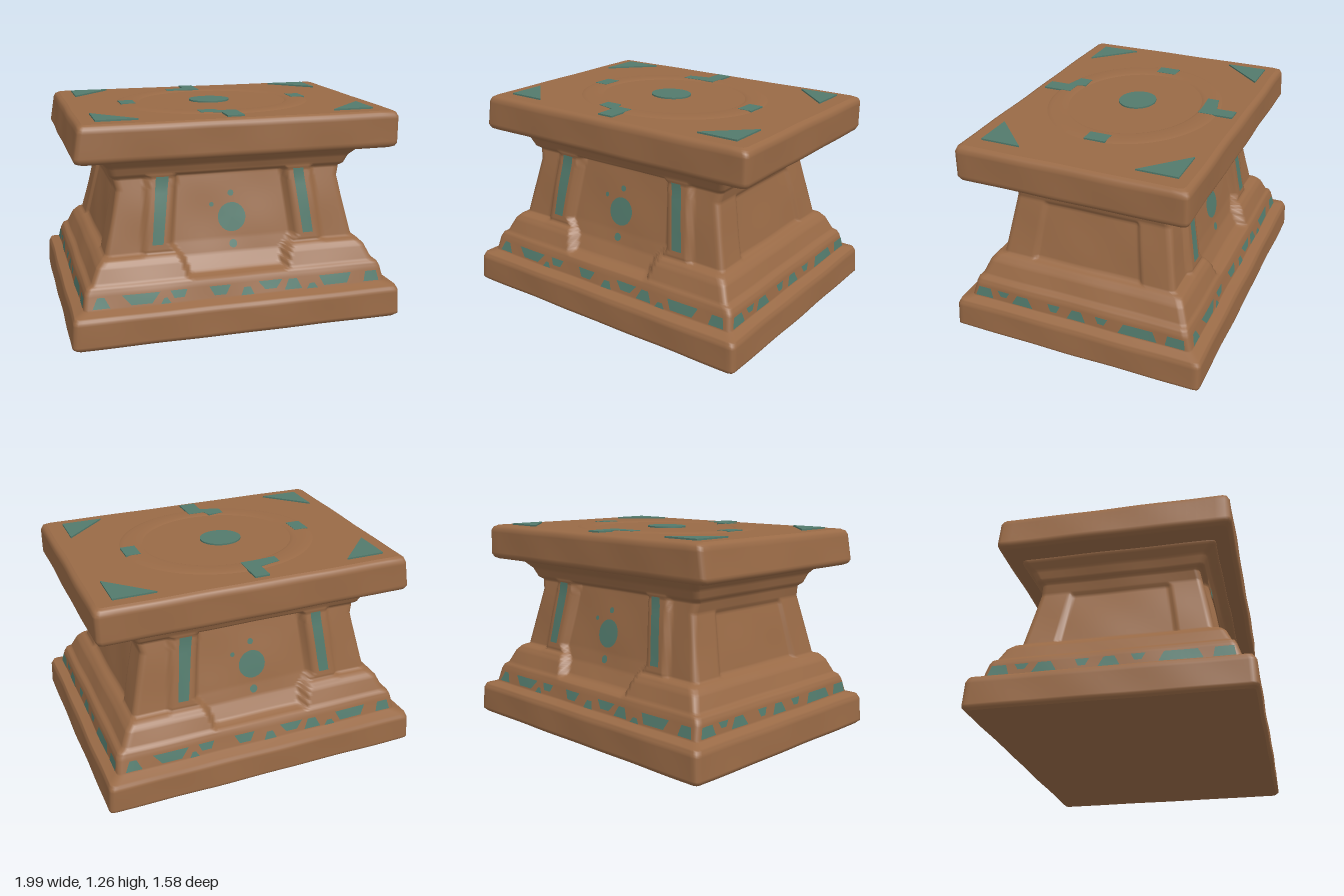
import * as THREE from 'three';

const lerp = THREE.MathUtils.lerp;
const step = (edge, x) => THREE.MathUtils.smoothstep(x, edge - 0.012, edge + 0.012);

// Value of column c at height y in a table of rows that start with y
function sample(rows, y, c) {
  if (y <= rows[0][0]) return rows[0][c];
  for (let i = 1; i < rows.length; i++) {
    const a = rows[i - 1], b = rows[i];
    if (y <= b[0]) return lerp(a[c], b[c], (y - a[0]) / (b[0] - a[0]));
  }
  return rows[rows.length - 1][c];
}

// Rows: height, half width, half depth, x offset
const BODY = [
  [0.005, 0.975, 0.77, 0], [0.025, 0.995, 0.79, 0], [0.17, 0.985, 0.785, 0], [0.2, 0.972, 0.77, 0],
  [0.212, 0.92, 0.715, 0], [0.3, 0.905, 0.69, 0], [0.33, 0.89, 0.678, 0], [0.345, 0.862, 0.662, 0],
  [0.43, 0.822, 0.625, 0], [0.462, 0.79, 0.6, 0], [0.475, 0.765, 0.555, 0], [0.84, 0.68, 0.488, 0],
  [0.905, 0.695, 0.476, 0], [0.925, 0.715, 0.505, 0], [0.98, 0.735, 0.53, 0], [1.03, 0.775, 0.582, 0], [1.06, 0.78, 0.585, 0],
];
const SLAB = [
  [1.04, 0.925, 0.66, 0.018], [1.05, 0.947, 0.68, 0.018], [1.07, 0.957, 0.69, 0.018], [1.225, 0.944, 0.688, 0.031],
  [1.248, 0.934, 0.678, 0.031], [1.26, 0.91, 0.655, 0.031],
];
const PANEL = [[0.33, 0.29, 0.62], [0.44, 0.32, 0.555], [0.52, 0.38, 0.53], [0.92, 0.33, 0.445]];

// Gentle hand-worked unevenness
const wobble = (side, u, y) => 0.003 * Math.sin(9 * u + side * 2) * Math.sin(13 * y + 1.3 * side + 3 * u);

// Distance of the pedestal face from the axis; sides run front, +x, back, -x
function bodyOut(side, u, y) {
  const a = Math.abs(u);
  if (side % 2) {
    // shallow panel on the short faces
    const inside = step(a, lerp(0.345, 0.295, (y - 0.47) / 0.36)) * step(0.475, y) * step(y, 0.83);
    return sample(BODY, y, 1) - 0.018 * inside + wobble(side, u, y);
  }
  // pilasters and the sunken panel between them
  const half = sample(PANEL, y, 1);
  const outer = lerp(0.55, 0.5, (y - 0.47) / 0.45);
  let d = sample(BODY, y, 2) + 0.027 * step(a, outer) * step(0.47, y) * step(y, 0.918);
  const inside = step(a, half) * step(0.34, y) * step(y, 0.915);
  d = lerp(d, Math.min(d, sample(PANEL, y, 2)), inside);
  return d + wobble(side, u, y);
}
const slabOut = (side, u, y) => sample(SLAB, y, side % 2 ? 1 : 2) + wobble(side, u, y);

// Turns face coordinates into model coordinates
function place(side, u, y, out) {
  return [[u, y, out], [out, y, -u], [-u, y, -out], [-out, y, u]][side];
}

// Closed loft of rounded rectangles with relief on each face
function loft(rows, out, radius, segs) {
  const heights = [rows[0][0]];
  for (let i = 1; i < rows.length; i++) {
    const n = Math.ceil((rows[i][0] - rows[i - 1][0]) / 0.012);
    for (let k = 1; k <= n; k++) heights.push(lerp(rows[i - 1][0], rows[i][0], k / n));
  }
  const pos = [], index = [];
  const ring = (y) => {
    const w = sample(rows, y, 1), d = sample(rows, y, 2), cx = sample(rows, y, 3);
    const add = (p) => pos.push(p[0] + cx, p[1], p[2]);
    for (let side = 0; side < 4; side++) {
      const half = (side % 2 ? d : w) - radius, dist = side % 2 ? w : d;
      for (let i = 0; i <= segs; i++) {
        const u = lerp(-half, half, i / segs);
        add(place(side, u, y, out(side, u, y)));
      }
      add(place(side, half + 0.707 * radius, y, dist - 0.293 * radius));
    }
  };
  const count = 4 * (segs + 2);
  heights.forEach(ring);
  for (let j = 0; j < heights.length - 1; j++) {
    for (let i = 0; i < count; i++) {
      const a = j * count + i, b = j * count + (i + 1) % count;
      index.push(a, b, a + count, b, b + count, a + count);
    }
  }
  // flat caps with their own vertices
  for (const top of [false, true]) {
    const y = top ? heights[heights.length - 1] : heights[0];
    const start = pos.length / 3;
    ring(y);
    const mid = pos.length / 3;
    pos.push(0, y, 0);
    for (let i = 0; i < count; i++) {
      const a = start + i, b = start + (i + 1) % count;
      index.push(mid, top ? a : b, top ? b : a);
    }
  }
  const g = new THREE.BufferGeometry();
  g.setAttribute('position', new THREE.Float32BufferAttribute(pos, 3));
  g.setIndex(index);
  g.computeVertexNormals();
  return g;
}

// Lays flat (u, y) geometry just over a pedestal face
function drape(g, side) {
  const p = g.attributes.position;
  for (let i = 0; i < p.count; i++) {
    const u = p.getX(i), y = p.getY(i);
    p.setXYZ(i, ...place(side, u, y, bodyOut(side, u, y) + 0.005));
  }
  g.computeVertexNormals();
  return g;
}

// Flat four-sided patch: bottom edge b0-b1, top edge t0-t1
function patch(b0, b1, t0, t1, y0, y1) {
  const g = new THREE.PlaneGeometry(1, 1, 6, 8), p = g.attributes.position;
  for (let i = 0; i < p.count; i++) {
    const s = p.getX(i) + 0.5, t = p.getY(i) + 0.5;
    p.setXY(i, lerp(lerp(b0, b1, s), lerp(t0, t1, s), t), lerp(y0, y1, t));
  }
  return g;
}

// Band marks: start, end, bottom, top, taper (positive narrows the top)
const LONG_MARKS = [
  [-0.87, -0.77, 0.225, 0.285, 0.03], [-0.7, -0.48, 0.23, 0.288, -0.05], [-0.48, -0.42, 0.22, 0.252, 0.02],
  [-0.42, -0.32, 0.245, 0.288, -0.02], [-0.19, -0.06, 0.235, 0.288, -0.03], [0.0, 0.08, 0.22, 0.265, 0.02],
  [0.11, 0.26, 0.24, 0.288, -0.04], [0.27, 0.38, 0.225, 0.285, 0.03], [0.41, 0.48, 0.22, 0.25, 0.02],
  [0.49, 0.7, 0.23, 0.288, -0.03], [0.78, 0.88, 0.225, 0.285, 0.015],
];
const SHORT_MARKS = [
  [-0.68, -0.56, 0.225, 0.285, 0.02], [-0.53, -0.45, 0.25, 0.285, -0.02], [-0.43, -0.29, 0.225, 0.285, 0.035],
  [-0.19, -0.11, 0.24, 0.285, -0.02], [-0.06, 0.06, 0.225, 0.285, 0.03], [0.12, 0.2, 0.245, 0.285, -0.02],
  [0.27, 0.51, 0.225, 0.285, 0.03], [0.56, 0.68, 0.225, 0.285, 0.01],
];

export function createModel() {
  const model = new THREE.Group();
  model.name = 'pedestal';
  const clay = new THREE.MeshStandardMaterial({ color: 0x996a46 });
  clay.name = 'brown clay';
  const paint = new THREE.MeshStandardMaterial({ color: 0x527a6c });
  paint.name = 'teal paint';
  const add = (name, g, m) => {
    const mesh = new THREE.Mesh(g, m);
    mesh.name = name;
    model.add(mesh);
    return mesh;
  };

  add('body', loft(BODY, bodyOut, 0.025, 80), clay);
  add('topSlab', loft(SLAB, slabOut, 0.03, 24), clay);

  // raised oval ring on the slab
  const profile = [[0.61, -0.002], [0.58, 0.008], [0.485, 0.008], [0.458, -0.002]];
  const ring = add('topRing', new THREE.LatheGeometry(profile.map((p) => new THREE.Vector2(...p)), 72), clay);
  ring.position.set(0.02, 1.26, 0);
  ring.scale.z = 0.86;

  // painted marks on the faces
  for (let side = 0; side < 4; side++) {
    for (const [u0, u1, y0, y1, k] of side % 2 ? SHORT_MARKS : LONG_MARKS) {
      const b = Math.max(-k, 0), t = Math.max(k, 0);
      add('bandMark', drape(patch(u0 + b, u1 - b, u0 + t, u1 - t, y0, y1), side), paint);
    }
    if (side % 2) continue;
    add('pilasterStripe', drape(patch(-0.495, -0.43, -0.455, -0.38, 0.525, 0.912), side), paint);
    add('pilasterStripe', drape(patch(0.43, 0.495, 0.38, 0.445, 0.525, 0.912), side), paint);
    for (const [u, y, r] of [[0, 0.64, 0.085], [0, 0.78, 0.018], [0, 0.485, 0.024], [-0.12, 0.72, 0.014]]) {
      add('panelDot', drape(new THREE.CircleGeometry(r, 24).translate(u, y, 0), side), paint);
    }
  }

  // painted plates on the slab, outlines in x and z
  const plates = [
    [[-0.8, -0.59], [-0.56, -0.59], [-0.8, -0.34]], [[0.6, -0.59], [0.85, -0.59], [0.85, -0.35]],
    [[-0.8, 0.34], [-0.56, 0.58], [-0.8, 0.58]], [[0.85, 0.34], [0.85, 0.58], [0.6, 0.58]],
    [[-0.05, -0.62], [0.04, -0.62], [0.04, -0.41], [-0.05, -0.41], [-0.18, -0.4], [-0.18, -0.47], [-0.05, -0.5]],
    [[-0.06, 0.62], [0.04, 0.62], [0.04, 0.44], [-0.06, 0.44], [-0.08, 0.39], [-0.18, 0.39], [-0.18, 0.47], [-0.06, 0.5]],
    [[-0.57, -0.07], [-0.48, -0.07], [-0.48, 0.06], [-0.57, 0.06]], [[0.53, -0.07], [0.62, -0.07], [0.62, 0.06], [0.53, 0.06]],
  ].map((pts) => new THREE.Shape(pts.map(([x, z]) => new THREE.Vector2(x, -z))));
  plates.push(new THREE.Shape().absellipse(0, 0.005, 0.127, 0.112, 0, Math.PI * 2));
  for (const shape of plates) {
    const g = new THREE.ExtrudeGeometry(shape, { depth: 0.0095, bevelEnabled: false, curveSegments: 24 });
    add('topPlate', g.rotateX(-Math.PI / 2).translate(0, 1.2605, 0), paint);
  }
  return model;
}
